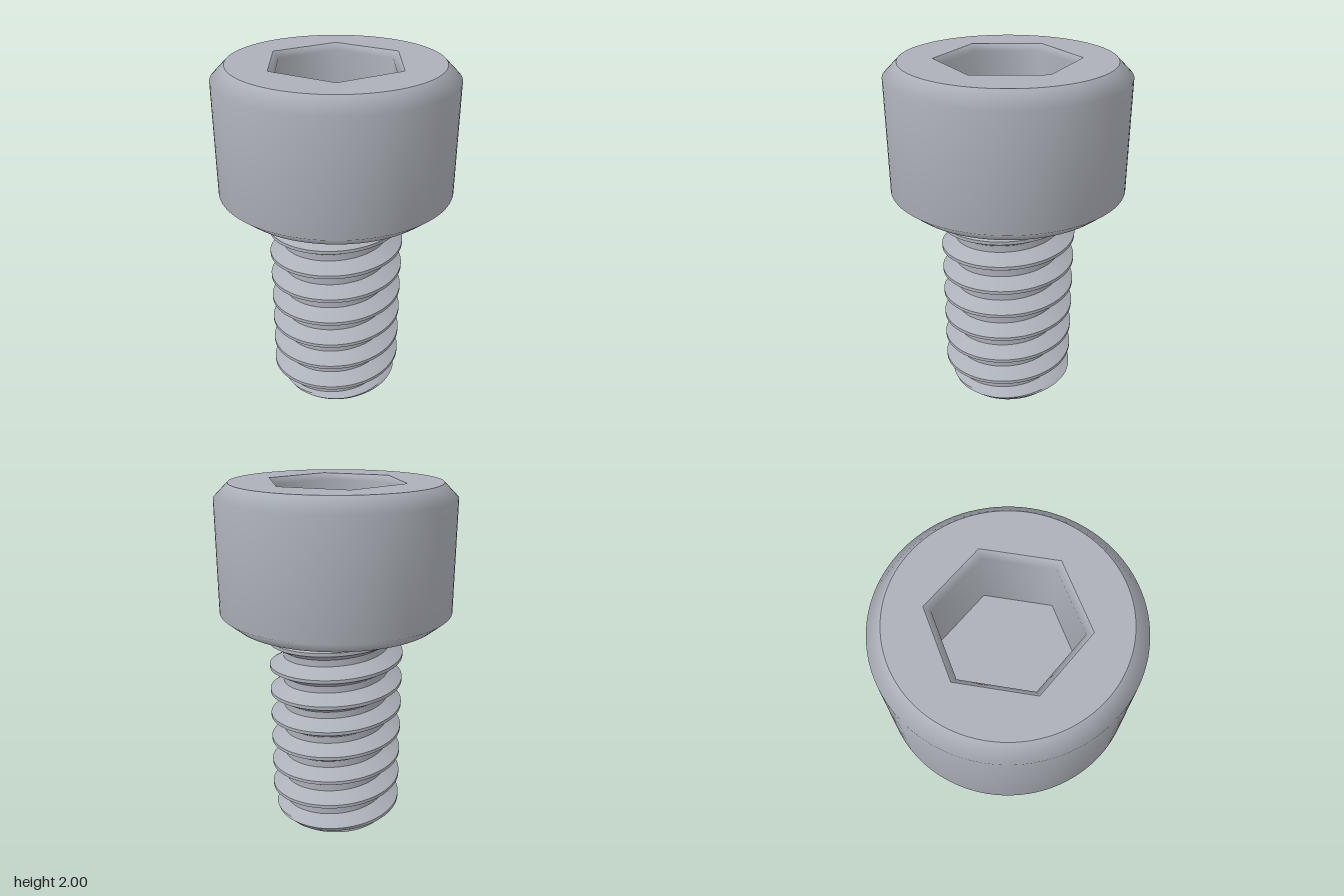
import * as THREE from 'three';
import { toCreasedNormals } from 'three/addons/utils/BufferGeometryUtils.js';

const steel = new THREE.MeshStandardMaterial({ color: 0xacb0b8 });
steel.name = 'steel grey';

const TOP = 2, UNDER = 1.235;          // head top and underside heights
const HEAD_R = 0.654, FACE_R = 0.576;  // head radius and flat face radius
const CREST = 0.385, ROOT = 0.305, PITCH = 0.154, TIP_R = 0.31;

// Thread radius at a height and angle, limited by the 45 degree tip chamfer
function threadRadius(y, angle) {
  const t = (y - 0.05) / PITCH + angle / (2 * Math.PI);
  const d = Math.abs(t - Math.round(t));
  const k = THREE.MathUtils.clamp((d - 1 / 16) / (5 / 16), 0, 1);
  return Math.min(THREE.MathUtils.lerp(CREST, ROOT, k), TIP_R + y);
}

// Helical grid whose rows follow crest, flanks and root, clamped to the shank ends
function threadGeometry() {
  const steps = [-1 / 16, 1 / 16, 9 / 64, 7 / 32, 19 / 64, 3 / 8, 5 / 8, 45 / 64, 25 / 32, 55 / 64];
  const turns = Math.ceil(UNDER / PITCH) + 2;
  const rows = [];
  for (let n = -1; n < turns; n++) steps.forEach((s) => rows.push(n + s));
  const segments = 96;
  const point = (i, j) => {
    const angle = (i / segments) * 2 * Math.PI;
    const y = THREE.MathUtils.clamp(0.05 + PITCH * (rows[j] - i / segments), 0, UNDER);
    const r = threadRadius(y, angle);
    return new THREE.Vector3(r * Math.cos(angle), y, r * Math.sin(angle));
  };
  const positions = [];
  const triangle = (a, b, c) => {
    const area = b.clone().sub(a).cross(c.clone().sub(a)).length();
    if (area > 1e-8) [a, b, c].forEach((p) => positions.push(p.x, p.y, p.z));
  };
  for (let j = 0; j < rows.length - 1; j++) {
    for (let i = 0; i < segments; i++) {
      const a = point(i, j), b = point(i + 1, j), c = point(i, j + 1), d = point(i + 1, j + 1);
      triangle(a, c, b);
      triangle(b, c, d);
    }
  }
  const geometry = new THREE.BufferGeometry();
  geometry.setAttribute('position', new THREE.Float32BufferAttribute(positions, 3));
  return toCreasedNormals(geometry, 0.5);
}

export function createModel() {
  const group = new THREE.Group();
  group.name = 'socketHeadScrew';
  const add = (name, geometry) => {
    const mesh = new THREE.Mesh(geometry, steel);
    mesh.name = name;
    group.add(mesh);
    return mesh;
  };
  const v = (x, y) => new THREE.Vector2(x, y);

  // Head side, softly shaded across both chamfers
  add('headSide', new THREE.LatheGeometry(
    [v(FACE_R, UNDER), v(HEAD_R, 1.3), v(HEAD_R, 1.922), v(FACE_R, TOP)], 96));

  // Head top face with hexagonal opening
  const SOCKET_RIM = 0.392, SOCKET_R = 0.358, FLOOR = 1.6;
  const face = new THREE.Shape().absarc(0, 0, FACE_R, 0, 2 * Math.PI);
  const hexagon = [];
  for (let i = 0; i < 6; i++) {
    const a = (i * Math.PI) / 3;
    hexagon.push(v(SOCKET_RIM * Math.cos(a), SOCKET_RIM * Math.sin(a)));
  }
  face.holes.push(new THREE.Path(hexagon));
  add('headTop', new THREE.ShapeGeometry(face, 48).rotateX(-Math.PI / 2)).position.y = TOP;

  // Hex socket: bevelled rim, walls and floor
  add('socketWalls', new THREE.LatheGeometry(
    [v(SOCKET_RIM, TOP), v(SOCKET_R, TOP - 0.034), v(SOCKET_R, FLOOR)], 6, Math.PI / 2));
  add('socketFloor', new THREE.CircleGeometry(SOCKET_R, 6).rotateX(-Math.PI / 2)).position.y = FLOOR;

  // Head underside
  add('headUnderside', new THREE.RingGeometry(ROOT - 0.01, FACE_R, 96).rotateX(Math.PI / 2)).position.y = UNDER;

  // Threaded shank and flat tip
  add('threadedShank', threadGeometry());
  add('shankTip', new THREE.CircleGeometry(TIP_R, 96).rotateX(Math.PI / 2));

  return group;
}
